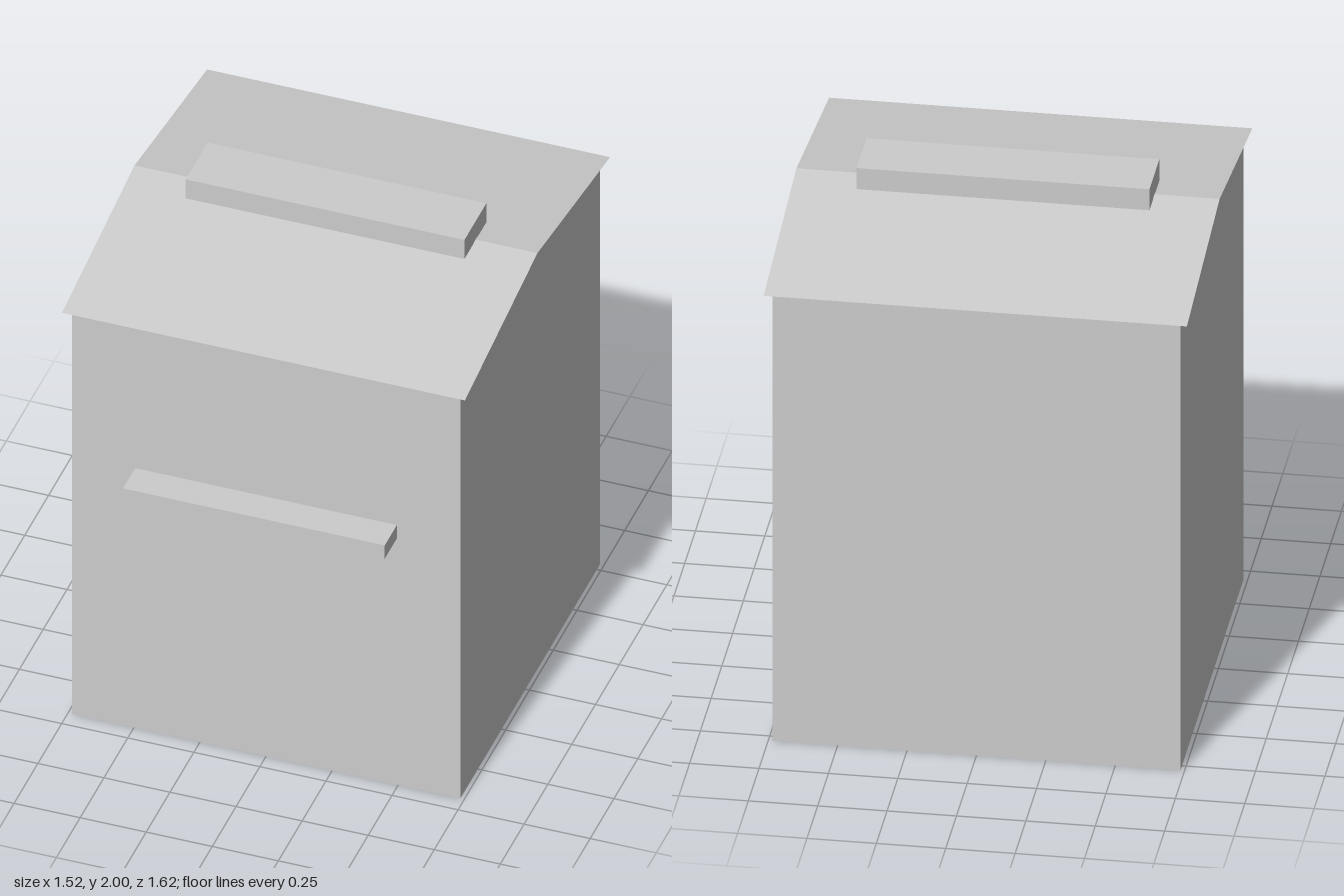
import * as THREE from 'three';

const HALF = 0.735;      // half width of the square body
const ROOF_HALF = 0.7625; // half width of the overhanging roof
const EAVE = 1.805, RIDGE = 1.92;
const CENTRE_Z = -0.05;

export function createModel() {
  const grey = new THREE.MeshStandardMaterial({ color: 0xcccccc });
  const greySheet = new THREE.MeshStandardMaterial({ color: 0xcccccc, side: THREE.DoubleSide });
  greySheet.name = grey.name = 'light grey';

  const model = new THREE.Group();
  const body = new THREE.Group();
  body.position.z = CENTRE_Z;
  model.add(body);

  const add = (name, geometry, material, parent, x, y, z) => {
    const mesh = new THREE.Mesh(geometry, material);
    mesh.name = name;
    mesh.position.set(x, y, z);
    parent.add(mesh);
    return mesh;
  };

  // Thin front and back walls; the body is hollow and open underneath
  const wall = new THREE.PlaneGeometry(HALF * 2, EAVE);
  add('frontWall', wall, greySheet, body, 0, EAVE / 2, HALF);
  add('backWall', wall, greySheet, body, 0, EAVE / 2, -HALF).rotation.y = Math.PI;

  // Gabled side walls
  const gable = new THREE.ShapeGeometry(new THREE.Shape([
    new THREE.Vector2(-HALF, 0), new THREE.Vector2(HALF, 0),
    new THREE.Vector2(HALF, EAVE), new THREE.Vector2(0, RIDGE),
    new THREE.Vector2(-HALF, EAVE),
  ]));
  for (const [name, s] of [['leftWall', 1], ['rightWall', -1]]) {
    add(name, gable, greySheet, body, s * HALF, 0, 0).rotation.y = s * Math.PI / 2;
  }

  // Two sloping roof sheets meeting at the ridge
  const rise = RIDGE - EAVE;
  const slope = new THREE.PlaneGeometry(ROOF_HALF * 2, Math.hypot(ROOF_HALF, rise));
  slope.rotateX(-Math.PI / 2 + Math.atan2(rise, ROOF_HALF));
  slope.translate(0, (EAVE + RIDGE) / 2, ROOF_HALF / 2);
  add('frontRoof', slope, greySheet, body, 0, 0, 0);
  add('backRoof', slope, greySheet, body, 0, 0, 0).rotation.y = Math.PI;

  // Ridge block and front bar
  add('ridgeBlock', new THREE.BoxGeometry(1.055, 0.085, 0.23), grey, body, 0, 1.9575, 0);
  add('frontBar', new THREE.BoxGeometry(0.99, 0.06, 0.127), grey, model, 0, 1.13, 0.7485);

  return model;
}
